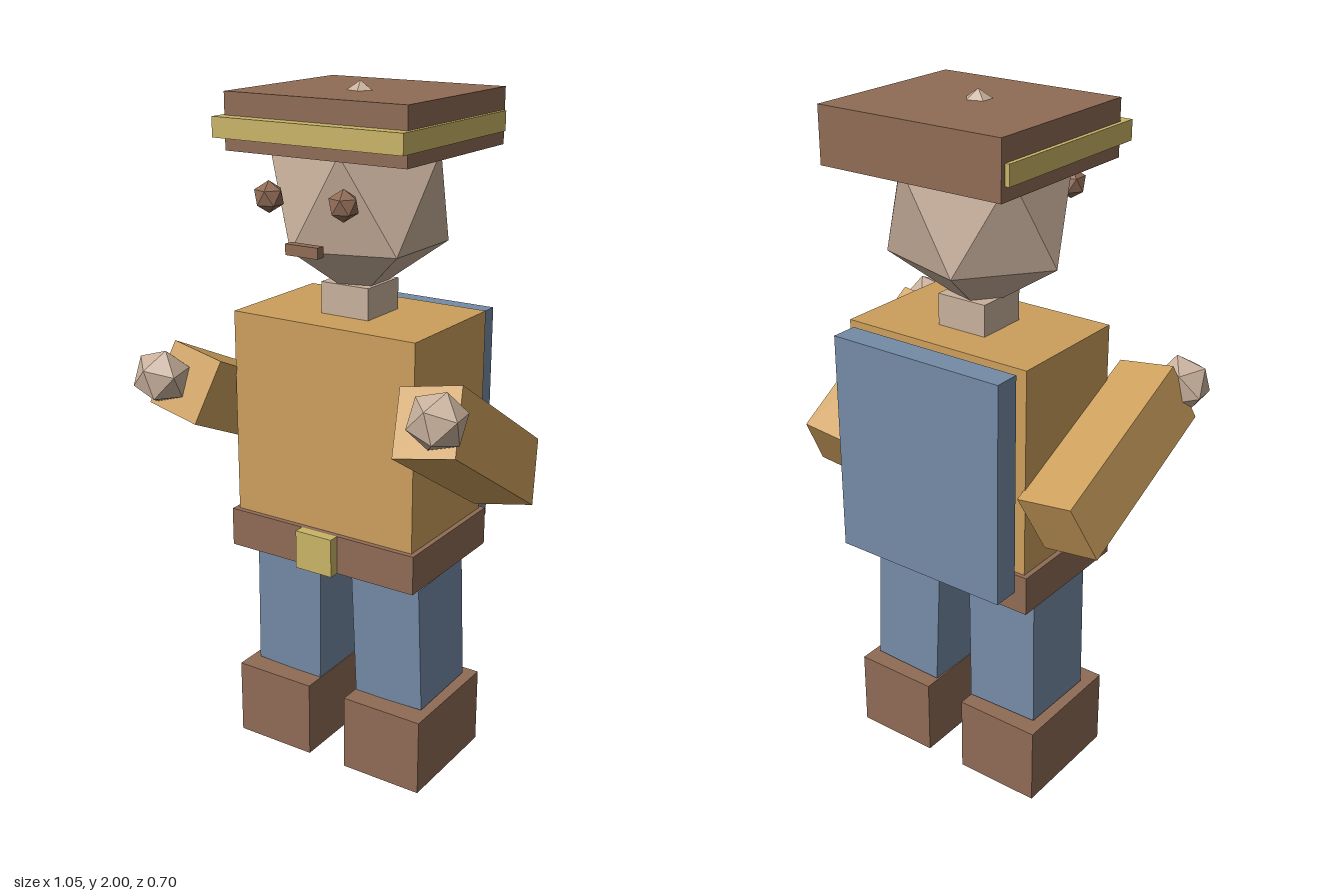
import * as THREE from 'three';
import { ConvexGeometry } from 'three/addons/geometries/ConvexGeometry.js';

function material(name, color) {
  const m = new THREE.MeshStandardMaterial({ color });
  m.name = name;
  return m;
}

// Twenty-sided ball with its poles on the y axis
function facetedBall() {
  const points = [new THREE.Vector3(0, 1, 0), new THREE.Vector3(0, -1, 0)];
  const y = 1 / Math.sqrt(5), r = 2 * y;
  for (let i = 0; i < 5; i++) {
    const a = (i * 2 * Math.PI) / 5;
    points.push(new THREE.Vector3(r * Math.cos(a), y, r * Math.sin(a)));
    points.push(new THREE.Vector3(-r * Math.cos(a), -y, r * Math.sin(a)));
  }
  return new ConvexGeometry(points);
}

export function createModel() {
  const model = new THREE.Group();
  model.name = 'blockFigure';

  const skin = material('skin', 0xc8b09c);
  const brown = material('brown leather', 0x8f6b55);
  const orange = material('orange shirt', 0xcc9f5c);
  const yellow = material('yellow trim', 0xc8b466);
  const blue = material('blue cloth', 0x748aa5);
  const ball = facetedBall();

  function add(name, geometry, mat, x, y, z) {
    const mesh = new THREE.Mesh(geometry, mat);
    mesh.name = name;
    mesh.position.set(x, y, z);
    model.add(mesh);
    return mesh;
  }
  // Box given by its lower and upper limits on each axis
  function box(name, mat, [x0, x1], [y0, y1], [z0, z1]) {
    return add(name, new THREE.BoxGeometry(x1 - x0, y1 - y0, z1 - z0), mat,
      (x0 + x1) / 2, (y0 + y1) / 2, (z0 + z1) / 2);
  }
  function orb(name, mat, x, y, z, rx, ry = rx, rz = rx) {
    const mesh = add(name, ball, mat, x, y, z);
    mesh.scale.set(rx, ry, rz);
    return mesh;
  }

  // Body and belt
  box('torso', orange, [-0.295, 0.295], [0.77, 1.37], [-0.26, 0.127]);
  box('belt', brown, [-0.31, 0.31], [0.655, 0.77], [-0.272, 0.143]);
  box('buckle', yellow, [-0.06, 0.06], [0.655, 0.77], [0.13, 0.174]);
  box('backPanel', blue, [-0.272, 0.272], [0.713, 1.357], [-0.35, -0.272]);
  box('neck', skin, [-0.077, 0.077], [1.37, 1.46], [-0.145, 0.012]);

  // Head and face; the crown just pokes through the hat
  orb('head', skin, 0, 1.703, -0.065, 0.28, 0.297, 0.26);
  for (const s of [-1, 1]) orb(s > 0 ? 'leftEye' : 'rightEye', brown, s * 0.117, 1.718, 0.193, 0.043);
  box('mouth', brown, [-0.052, 0.05], [1.575, 1.605], [0.187, 0.214]);

  // Hat
  box('hat', brown, [-0.283, 0.283], [1.82, 1.975], [-0.353, 0.16]);
  box('hatBand', yellow, [-0.295, 0.295], [1.858, 1.913], [-0.338, 0.2]);

  // Legs, slightly splayed, and boots
  for (const s of [-1, 1]) {
    const side = s > 0 ? 'left' : 'right';
    const leg = add(side + 'Leg', new THREE.BoxGeometry(0.226, 0.385, 0.25), blue, s * 0.173, 0.43, -0.071);
    leg.rotation.set(0.025, 0, s * 0.028);
    box(side + 'Boot', brown, s > 0 ? [0.063, 0.32] : [-0.32, -0.063], [0, 0.234], [-0.245, 0.112]);
  }

  // Raised arms and fists
  const arms = [
    { side: 'left', at: [0.396, 1.061, 0.003], pitch: -0.556, roll: 0.2, fist: [0.447, 1.227, 0.27] },
    { side: 'right', at: [-0.396, 1.058, -0.012], pitch: -0.43, roll: -0.19, fist: [-0.452, 1.187, 0.268] },
  ];
  for (const { side, at, pitch, roll, fist } of arms) {
    const arm = add(side + 'Arm', new THREE.BoxGeometry(0.178, 0.192, 0.54), orange, ...at);
    arm.rotation.set(pitch, 0, roll);
    const hand = orb(side + 'Fist', skin, ...fist, 0.083);
    hand.rotation.set(pitch + Math.PI / 2, 0, 0);
  }
  return model;
}
